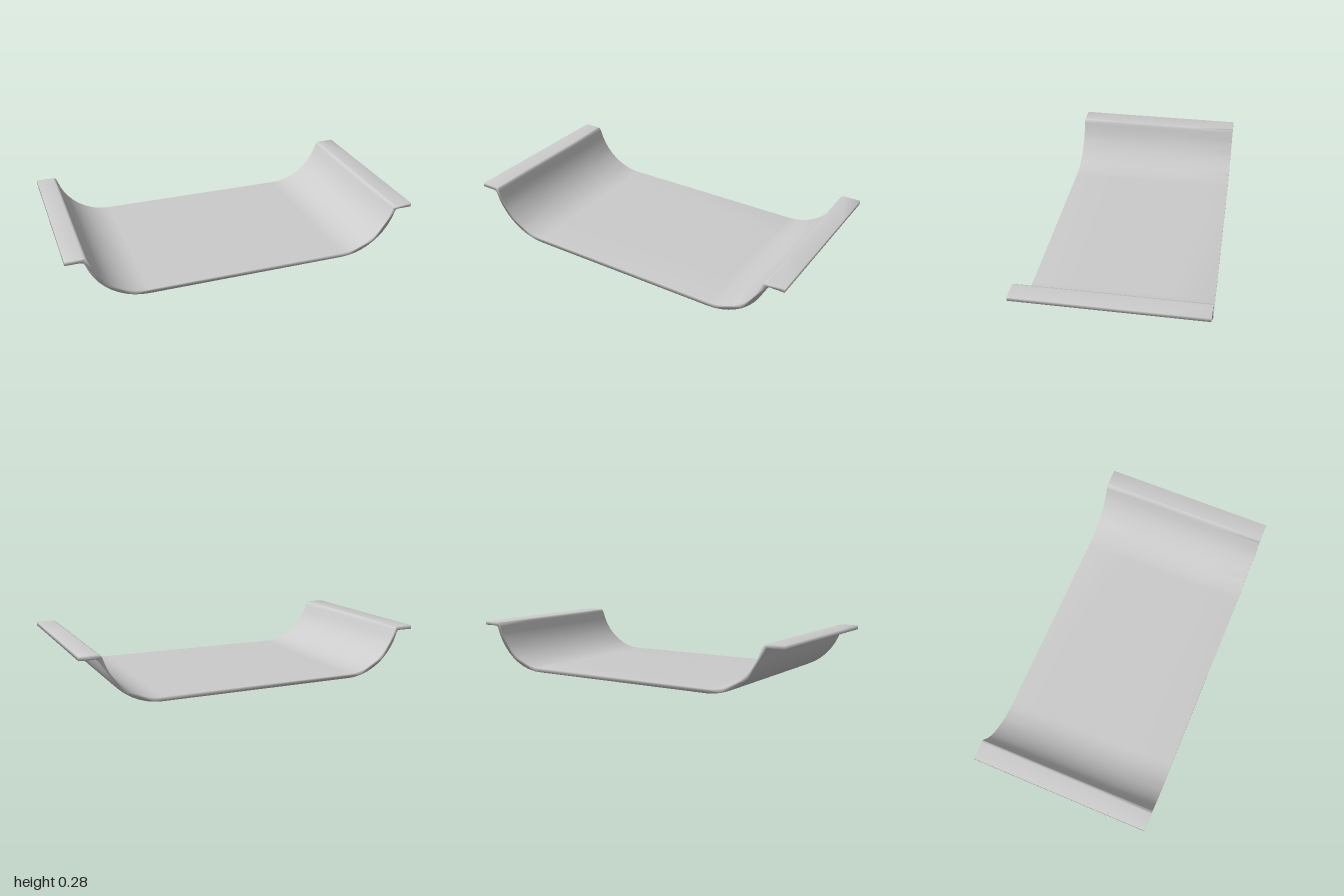
import * as THREE from 'three';
import { mergeVertices } from 'three/addons/utils/BufferGeometryUtils.js';

const DEPTH = 1.02;

// Points along the right-hand arc from the floor up to the rim
function arc(cx, cy, r, endAngle, n = 10) {
  return Array.from({ length: n + 1 }, (_, i) => {
    const a = (endAngle * i) / n;
    return [cx + r * Math.sin(a), cy - r * Math.cos(a)];
  });
}

const mirror = (points) => points.map(([x, y]) => [-x, y]).reverse();

export function createModel() {
  const group = new THREE.Group();
  group.name = 'curvedTray';

  // Half profiles: floor, curved wall, small bend, flat rim
  const under = [
    ...arc(0.57, 0.343, 0.343, 1.27),
    [0.902, 0.249], [0.908, 0.254], [0.916, 0.256], [1, 0.256],
  ];
  const upper = [
    ...arc(0.57, 0.343, 0.32, 1.28),
    [0.882, 0.264], [0.887, 0.272], [0.893, 0.276], [0.902, 0.278], [1, 0.278],
  ];
  const outline = [...mirror(under), ...under, ...upper.reverse(), ...mirror(upper)];
  const shape = new THREE.Shape(outline.map(([x, y]) => new THREE.Vector2(x, y)));

  // Sweep the sheet profile from back to front, with soft shading throughout
  let geometry = new THREE.ExtrudeGeometry(shape, { depth: DEPTH, steps: 4, bevelEnabled: false });
  geometry.translate(0, 0, -DEPTH / 2);
  geometry.deleteAttribute('normal');
  geometry.deleteAttribute('uv');
  geometry = mergeVertices(geometry, 1e-4);
  geometry.computeVertexNormals();

  const tray = new THREE.Mesh(geometry, new THREE.MeshStandardMaterial({ color: 0xcccccc }));
  tray.name = 'traySheet';
  group.add(tray);
  return group;
}
